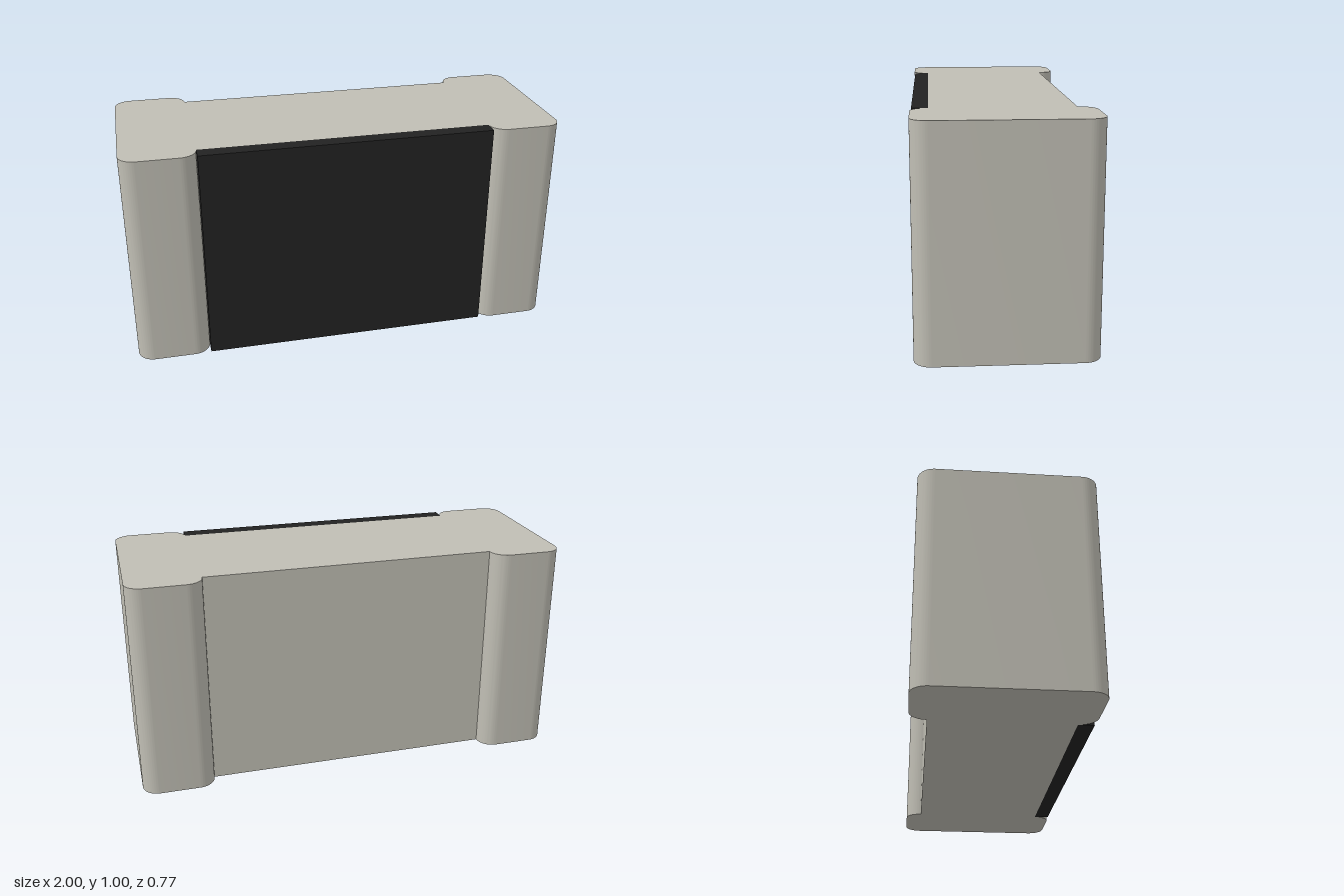
import * as THREE from 'three';
import { toCreasedNormals } from 'three/addons/utils/BufferGeometryUtils.js';

const HEIGHT = 1;
const HALF_WIDTH = 1;
const CAP_INNER = 0.667; // inner side of each end cap
const CAP_Z = 0.385; // half depth of the end caps
const CORE_Z = 0.31; // half depth of the core
const R = CAP_Z - CORE_Z; // rounding radius

// Dumbbell outline: two rounded end caps joined by a thinner core
function bodyOutline() {
  const shape = new THREE.Shape();
  const arc = (x, y, quarter) =>
    shape.absarc(x, y, R, quarter * Math.PI / 2, (quarter + 1) * Math.PI / 2, false);
  const outer = HALF_WIDTH - R, inner = CAP_INNER + R;
  shape.moveTo(-CAP_INNER, -CORE_Z);
  shape.lineTo(CAP_INNER, -CORE_Z);
  arc(inner, -CORE_Z, 2);
  arc(outer, -CORE_Z, 3);
  arc(outer, CORE_Z, 0);
  arc(inner, CORE_Z, 1);
  shape.lineTo(-CAP_INNER, CORE_Z);
  arc(-inner, CORE_Z, 0);
  arc(-outer, CORE_Z, 1);
  arc(-outer, -CORE_Z, 2);
  arc(-inner, -CORE_Z, 3);
  return shape;
}

export function createModel() {
  const model = new THREE.Group();
  model.name = 'chipComponent';

  const metal = new THREE.MeshStandardMaterial({ color: 0xc0beb4 });
  metal.name = 'paleMetal';
  const black = new THREE.MeshStandardMaterial({ color: 0x222222 });
  black.name = 'blackCoating';

  // Core and end caps in one extrusion, turned upright
  const bodyGeometry = new THREE.ExtrudeGeometry(bodyOutline(), {
    depth: HEIGHT, bevelEnabled: false, curveSegments: 12,
  });
  bodyGeometry.rotateX(-Math.PI / 2);
  const body = new THREE.Mesh(toCreasedNormals(bodyGeometry, 0.6), metal);
  body.name = 'body';
  model.add(body);

  // Coating slab filling the front recess
  const depth = 0.07;
  const coating = new THREE.Mesh(new THREE.BoxGeometry(CAP_INNER * 2, HEIGHT, depth), black);
  coating.name = 'frontCoating';
  coating.position.set(0, HEIGHT / 2, CORE_Z + depth / 2);
  model.add(coating);

  return model;
}
